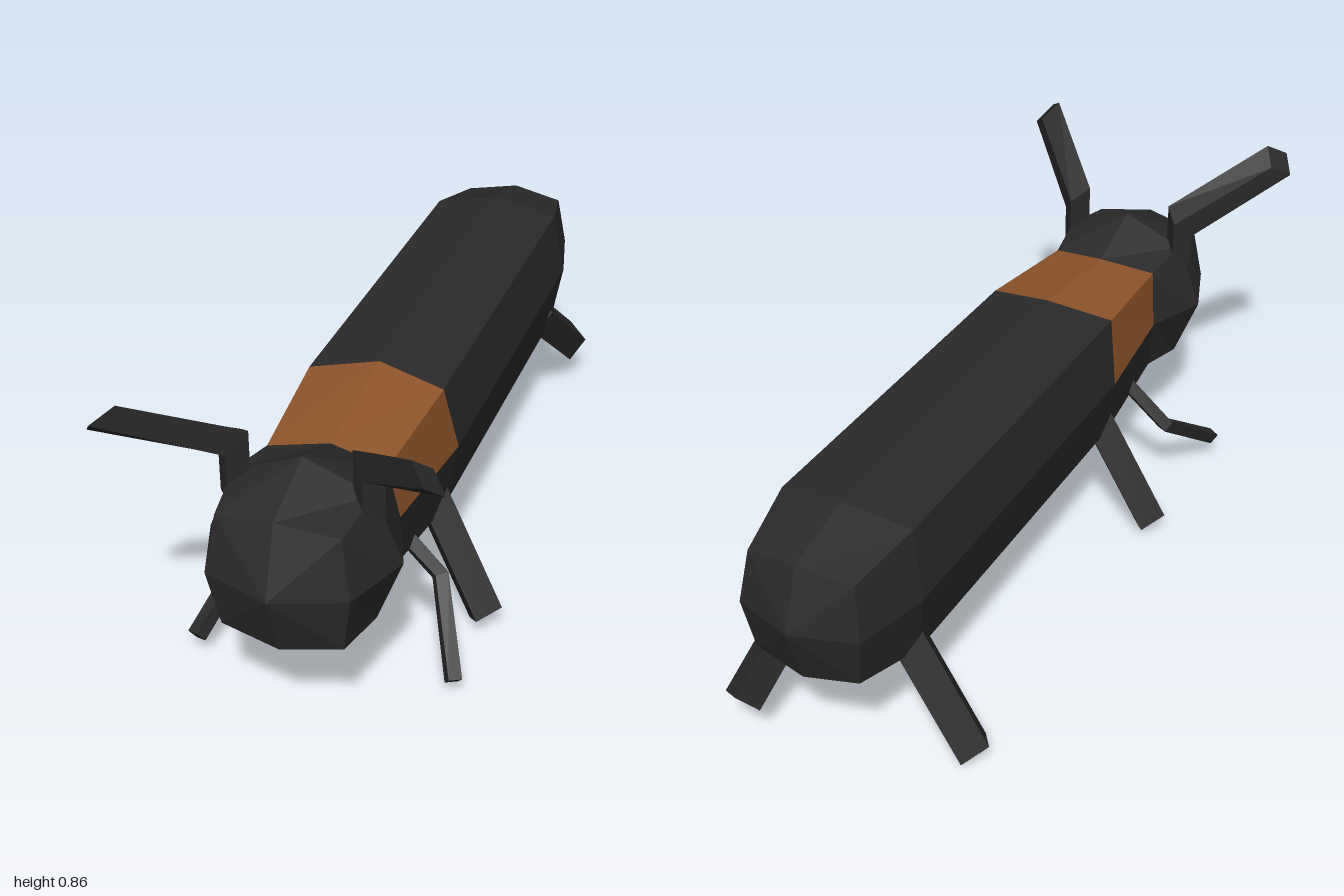
import * as THREE from 'three';

const CX = -0.007, CY = 0.458; // body axis

const dark = new THREE.MeshStandardMaterial({ color: 0x2a2a2a, flatShading: true });
const brown = new THREE.MeshStandardMaterial({ color: 0x8f552b, flatShading: true });

// Skins neighbouring rings of points; keep(i, j) picks the quads to build.
function loft(name, rings, material, keep = () => true) {
  const pos = [];
  const tri = (...pts) => pts.forEach((p) => pos.push(p.x, p.y, p.z));
  for (let i = 0; i < rings.length - 1; i++) {
    const n = rings[i].length;
    for (let j = 0; j < n; j++) {
      if (!keep(i, j)) continue;
      const k = (j + 1) % n;
      const a = rings[i][j], b = rings[i][k], c = rings[i + 1][k], d = rings[i + 1][j];
      if (a !== b) tri(a, d, b);
      if (c !== d) tri(b, d, c);
    }
  }
  const geo = new THREE.BufferGeometry();
  geo.setAttribute('position', new THREE.Float32BufferAttribute(pos, 3));
  geo.computeVertexNormals();
  const mesh = new THREE.Mesh(geo, material);
  mesh.name = name;
  return mesh;
}

// Eight-sided body ring: own radius and depth for the straight and diagonal corners.
function bodyRing(zs, rs, zd, rd) {
  return Array.from({ length: 8 }, (_, j) => {
    const a = (j * Math.PI) / 4, diagonal = j % 2;
    const r = diagonal ? rd * Math.SQRT2 : rs;
    return new THREE.Vector3(CX + r * Math.cos(a), CY + r * Math.sin(a), diagonal ? zd : zs);
  });
}

function pole(z, n = 8) {
  return Array(n).fill(new THREE.Vector3(CX, CY, z));
}

// Diamond-section limb through stations [centre, u, v], closed at both ends.
function limb(name, stations) {
  const vec = (p) => new THREE.Vector3(...p);
  const dir = vec(stations[1][0]).sub(vec(stations[0][0]));
  const flip = vec(stations[0][1]).cross(vec(stations[0][2])).dot(dir) > 0 ? -1 : 1;
  const rings = stations.map(([c, u, v]) =>
    [[u, 1], [v, flip], [u, -1], [v, -flip]].map(([w, s]) => vec(c).addScaledVector(vec(w), s)));
  const cap = (p) => Array(4).fill(vec(p));
  return loft(name, [cap(stations[0][0]), ...rings, cap(stations.at(-1)[0])], dark);
}

// Straight or bent leg with a constant section, w wide sideways and d deep.
function leg(name, path, w, d) {
  const p = path.map((q) => new THREE.Vector3(...q));
  return limb(name, p.map((c, i) => {
    const t = p[Math.min(i + 1, p.length - 1)].clone().sub(p[Math.max(i - 1, 0)]).normalize();
    const u = new THREE.Vector3(t.y, -t.x, 0).normalize();
    const v = t.clone().cross(u);
    return [c.toArray(), u.multiplyScalar(w).toArray(), v.multiplyScalar(d).toArray()];
  }));
}

export function createModel() {
  const model = new THREE.Group();
  model.name = 'insect';

  // Head, neck, trunk and rounded tail
  const neck = bodyRing(0.575, 0.165, 0.6, 0.145);
  const shoulder = bodyRing(0.245, 0.2, 0.275, 0.17);
  model.add(loft('head', [
    pole(0.97),
    bodyRing(0.91, 0.168, 0.89, 0.145),
    bodyRing(0.74, 0.23, 0.74, 0.165),
    neck,
  ], dark));
  const onTop = (i, j) => j < 4;
  model.add(loft('collar', [neck, shoulder], brown, onTop));
  model.add(loft('throat', [neck, shoulder], dark, (i, j) => !onTop(i, j)));
  model.add(loft('trunk', [
    shoulder,
    bodyRing(-0.76, 0.2, -0.74, 0.17),
    bodyRing(-0.95, 0.155, -0.93, 0.135),
    pole(-1),
  ], dark));

  // Feelers, mirrored about the body axis
  for (const s of [1, -1]) {
    const at = (x, y, z) => [CX + s * x, y, z];
    model.add(limb(s > 0 ? 'leftFeeler' : 'rightFeeler', [
      [at(0.157, 0.57, 0.75), [s * 0.037, 0, 0], [0, 0, 0.045]],
      [at(0.157, 0.698, 0.75), [s * 0.037, -0.037, 0], [0, -0.008, 0.045]],
      [at(0.357, 0.84, 0.955), [s * 0.036, -0.036, 0], [s * 0.005, 0.005, 0.045]],
    ]));
  }

  // Walking legs, each in its own stride
  const legs = {
    frontLeftLeg: [[0.13, 0.33, 0.27], [0.3, 0.055, 0.345]],
    frontRightLeg: [[-0.14, 0.33, 0.275], [-0.315, 0.04, 0.275]],
    backLeftLeg: [[0.135, 0.34, -0.69], [0.185, 0.135, -0.93]],
    backRightLeg: [[-0.14, 0.33, -0.735], [-0.315, 0.04, -0.735]],
  };
  for (const [name, path] of Object.entries(legs)) model.add(leg(name, path, 0.048, 0.06));

  // Thin bent forelimbs behind the head
  model.add(leg('leftForelimb',
    [[0.13, 0.32, 0.455], [0.22, 0.235, 0.465], [0.305, 0.06, 0.625]], 0.024, 0.022));
  model.add(leg('rightForelimb',
    [[-0.15, 0.33, 0.455], [-0.265, 0.215, 0.475], [-0.325, 0.075, 0.68]], 0.024, 0.022));

  return model;
}
